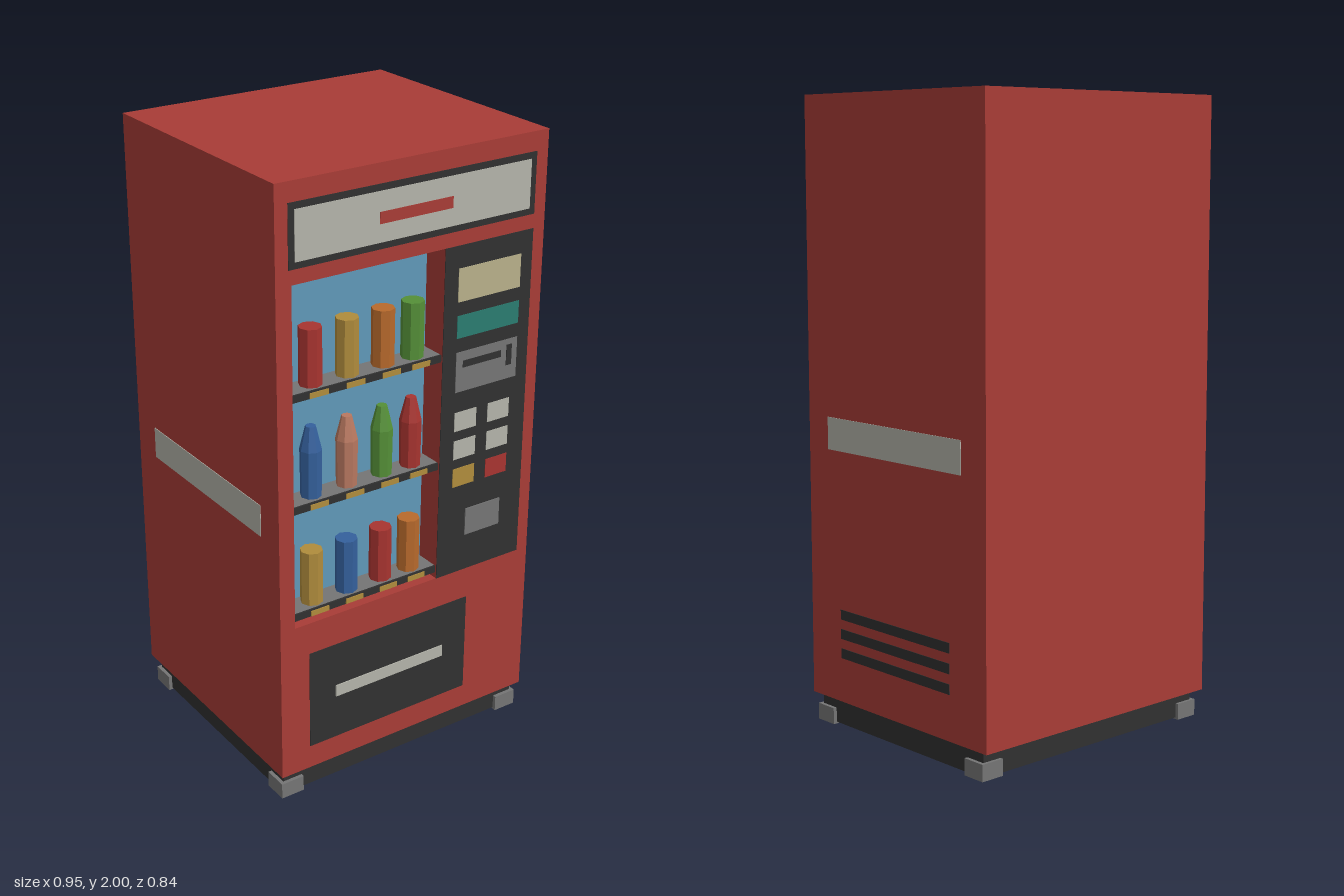
import * as THREE from 'three';

const RED = 0xa83c36, DARK = 0x303030, LIGHT = 0xb4b4aa, GREY = 0x757575, BLUE = 0x6098b8;
const YELLOW = 0xb08c3c, ORANGE = 0xb86a2c, GREEN = 0x559038, NAVY = 0x34609c, SALMON = 0xb87860, CRIMSON = 0xa83430;
const FRONT = 0.415, BACK = -0.425, CAVITY = 0.325;

export function createModel() {
  const root = new THREE.Group();
  root.name = 'vendingMachine';
  const materials = {};
  const mat = (color) => (materials[color] ??= new THREE.MeshStandardMaterial({ color, flatShading: true }));

  const add = (name, geometry, color, parent = root) => {
    const mesh = new THREE.Mesh(geometry, mat(color));
    mesh.name = name;
    parent.add(mesh);
    return mesh;
  };
  // Box given by its limits on each axis
  const box = (name, color, x0, x1, y0, y1, z0, z1, parent) => {
    const mesh = add(name, new THREE.BoxGeometry(x1 - x0, y1 - y0, z1 - z0), color, parent);
    mesh.position.set((x0 + x1) / 2, (y0 + y1) / 2, (z0 + z1) / 2);
    return mesh;
  };
  // Thin plate on the front face; each level stands slightly prouder
  const plate = (name, color, x0, x1, y0, y1, level = 1, parent) =>
    box(name, color, x0, x1, y0, y1, FRONT - 0.004, FRONT + 0.0016 * level, parent);

  // Cabinet: solid rear plus a front frame with the display opening
  box('cabinetRear', RED, -0.472, 0.472, 0.09, 2, BACK, CAVITY);
  const rect = (P, x0, x1, y0, y1) => {
    const p = new P();
    p.moveTo(x0, y0).lineTo(x1, y0).lineTo(x1, y1).lineTo(x0, y1).closePath();
    return p;
  };
  const frame = rect(THREE.Shape, -0.472, 0.472, 0.09, 2);
  frame.holes.push(rect(THREE.Path, -0.42, 0.105, 0.615, 1.705));
  const frameGeo = new THREE.ExtrudeGeometry(frame, { depth: FRONT - CAVITY, bevelEnabled: false });
  add('cabinetFront', frameGeo, RED).position.z = CAVITY;
  box('displayBack', BLUE, -0.42, 0.105, 0.615, 1.705, CAVITY - 0.01, CAVITY + 0.003);

  // Plinth and feet
  box('plinth', DARK, -0.453, 0.453, 0.006, 0.09, -0.39, 0.388);
  for (const x of [-0.425, 0.425])
    for (const z of [-0.36, 0.36])
      box('foot', GREY, x - 0.04, x + 0.04, 0, 0.053, z - 0.04, z + 0.04);

  // Header sign
  plate('signFrame', DARK, -0.43, 0.43, 1.75, 1.94, 1);
  plate('signFace', LIGHT, -0.41, 0.41, 1.77, 1.92, 2);
  plate('signBar', RED, -0.13, 0.125, 1.825, 1.86, 3);

  // Shelves with price tags and drinks
  const can = new THREE.CylinderGeometry(0.035, 0.035, 0.177, 8).translate(0, 0.0885, 0);
  const bottle = new THREE.LatheGeometry(
    [[0, 0], [0.032, 0], [0.034, 0.15], [0.016, 0.225], [0, 0.225]].map(([r, y]) => new THREE.Vector2(r, y)), 8);
  const rows = [
    { y: 1.373, shape: can, name: 'can', colors: [CRIMSON, YELLOW, ORANGE, GREEN] },
    { y: 1.017, shape: bottle, name: 'bottle', colors: [NAVY, SALMON, GREEN, CRIMSON] },
    { y: 0.658, shape: can, name: 'can', colors: [YELLOW, NAVY, CRIMSON, ORANGE] },
  ];
  for (const { y, shape, name, colors } of rows) {
    const shelf = new THREE.Group();
    shelf.name = 'shelfRow';
    root.add(shelf);
    box('shelf', GREY, -0.42, 0.105, y - 0.02, y, CAVITY, 0.404, shelf);
    box('shelfLip', DARK, -0.42, 0.105, y - 0.023, y, 0.404, 0.41, shelf);
    [-0.328, -0.202, -0.076, 0.03].forEach((x, i) => {
      add(name, shape, colors[i], shelf).position.set(x, y, 0.365);
      box('priceTag', YELLOW, x - 0.032, x + 0.032, y - 0.022, y - 0.005, 0.408, 0.413, shelf);
    });
  }

  // Control panel
  const panel = new THREE.Group();
  panel.name = 'controlPanel';
  root.add(panel);
  plate('panelPlate', DARK, 0.105, 0.43, 0.615, 1.705, 1, panel);
  plate('infoCard', 0xb8b08a, 0.155, 0.387, 1.53, 1.635, 2, panel);
  plate('screen', 0x2a7c70, 0.155, 0.387, 1.415, 1.487, 2, panel);
  plate('paymentUnit', GREY, 0.155, 0.387, 1.24, 1.37, 2, panel);
  plate('noteSlot', DARK, 0.18, 0.325, 1.318, 1.34, 3, panel);
  plate('coinSlot', DARK, 0.346, 0.366, 1.285, 1.352, 3, panel);
  plate('coinReturn', GREY, 0.21, 0.345, 0.74, 0.832, 3, panel);
  [[LIGHT, LIGHT], [LIGHT, LIGHT], [YELLOW, CRIMSON]].forEach((pair, row) =>
    pair.forEach((color, col) => {
      const x = 0.156 + col * 0.127, y = 1.11 - row * 0.095;
      plate('button', color, x, x + 0.083, y, y + 0.063, 2, panel);
    }));

  // Delivery flap
  plate('deliveryFlap', DARK, -0.37, 0.228, 0.17, 0.508, 1);
  plate('flapHandle', LIGHT, -0.275, 0.135, 0.32, 0.36, 3);

  // Side stripes, and vents on the left side only
  for (const s of [-1, 1])
    box('sideStripe', LIGHT, s * 0.471 - 0.003, s * 0.471 + 0.003, 0.9, 1.003, -0.317, 0.317);
  for (const y of [0.25, 0.313, 0.376])
    box('vent', DARK, 0.468, 0.474, y - 0.016, y + 0.016, -0.263, 0.263);

  return root;
}
